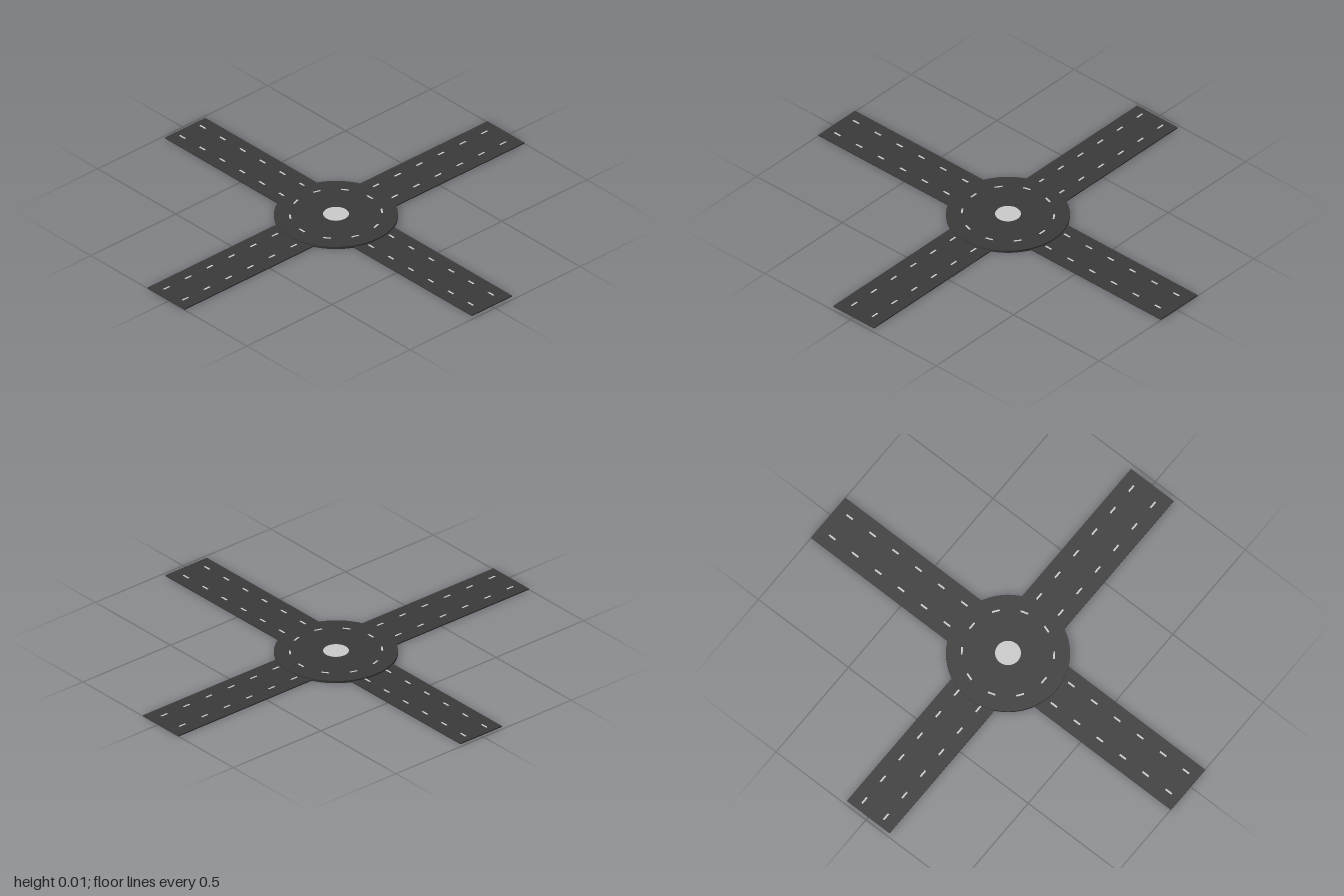
import * as THREE from 'three';

const CX = -0.018;        // roundabout centre in x
const ROAD_TOP = 0.005;
const DISC_TOP = 0.011;
const ROAD_W = 0.237;
const LANE = 0.06;        // lane line offset from the road's middle

export function createModel() {
  const model = new THREE.Group();
  model.name = 'roundabout';
  const asphalt = new THREE.MeshStandardMaterial({ color: 0x3a3a3a });
  const paint = new THREE.MeshStandardMaterial({ color: 0xcccccc });

  function add(parent, name, geometry, material, x, y, z) {
    const mesh = new THREE.Mesh(geometry, material);
    mesh.name = name;
    mesh.position.set(x, y, z);
    parent.add(mesh);
    return mesh;
  }

  const dash = new THREE.BoxGeometry(0.035, 0.001, 0.008);

  // One road arm running along its own +x, with two dashed lane lines
  function addArm(name, angle, end, firstDash) {
    const arm = new THREE.Group();
    arm.name = name;
    arm.position.x = CX;
    arm.rotation.y = angle;
    const start = 0.12;
    add(arm, 'roadSurface', new THREE.BoxGeometry(end - start, ROAD_TOP, ROAD_W), asphalt,
      (start + end) / 2, ROAD_TOP / 2, 0);
    for (const side of [-1, 1]) {
      for (let i = 0; i < 6; i++) {
        add(arm, 'laneDash', dash, paint, firstDash + i * 0.1275, ROAD_TOP + 0.0005, side * LANE);
      }
    }
    model.add(arm);
  }
  addArm('leftRoad', 0, 0.998, 0.29);
  addArm('backRoad', Math.PI / 2, 1, 0.291);
  addArm('rightRoad', Math.PI, 0.966, 0.28);
  addArm('frontRoad', -Math.PI / 2, 1, 0.304);

  // Raised circular carriageway
  add(model, 'circle', new THREE.CylinderGeometry(0.269, 0.269, DISC_TOP, 64), asphalt,
    CX, DISC_TOP / 2, 0);

  // Ring of ten dashes around the circle
  for (let i = 0; i < 10; i++) {
    const a = (i / 10) * Math.PI * 2;
    const mark = add(model, 'ringDash', dash, paint,
      CX + Math.sin(a) * 0.2, DISC_TOP + 0.0005, Math.cos(a) * 0.2);
    mark.rotation.y = a;
  }

  // Central island
  add(model, 'centreIsland', new THREE.CylinderGeometry(0.056, 0.056, 0.001, 48), paint,
    CX, DISC_TOP + 0.0005, 0);

  return model;
}
